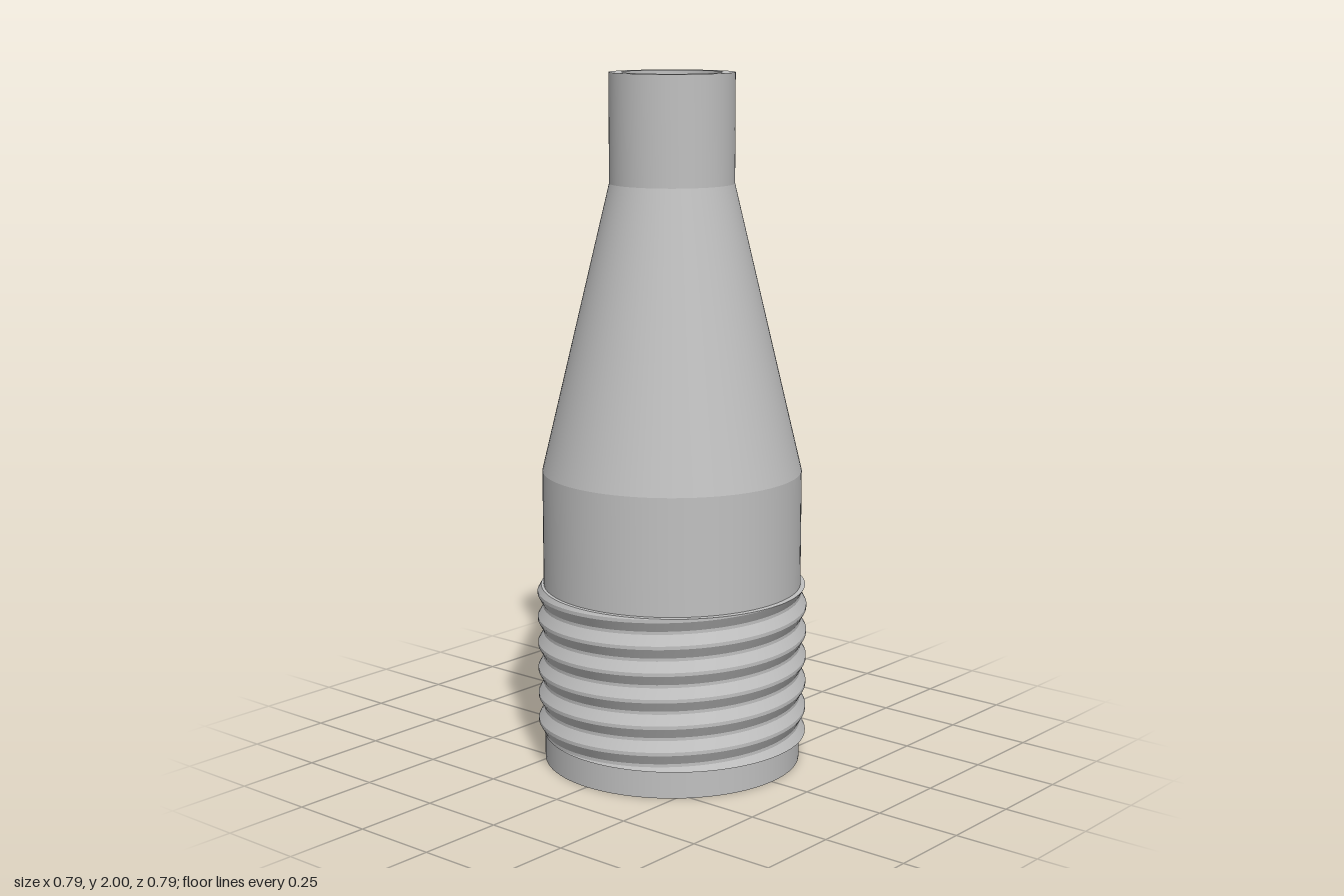
import * as THREE from 'three';
import { toCreasedNormals } from 'three/addons/utils/BufferGeometryUtils.js';

const BODY_R = 0.375, ROOT_R = 0.377, CREST_R = 0.393;
const PITCH = 0.077, LOW = 0.08, HIGH = 0.527;
const SEGMENTS = 96;

// One pitch of the thread: [offset from crest centre, radius]
const RIDGE = [[-0.034, ROOT_R], [-0.005, CREST_R], [0.005, CREST_R], [0.034, ROOT_R]];

// Thread cross-section at one angle, trimmed flat at its lower and upper ends
function threadSection(turn) {
  const raw = [];
  for (let k = -1; k < 8; k++) {
    const crest = 0.07 + (k + turn) * PITCH;
    for (const [dy, r] of RIDGE) raw.push([crest + dy, r]);
  }
  const radiusAt = (y) => {
    const i = raw.findIndex((p) => p[0] >= y);
    const [y0, r0] = raw[i - 1], [y1, r1] = raw[i];
    return r0 + (r1 - r0) * (y - y0) / (y1 - y0);
  };
  const trimmed = raw.map(([y, r]) => {
    if (y < LOW) return [LOW, radiusAt(LOW)];
    if (y > HIGH) return [HIGH, radiusAt(HIGH)];
    return [y, r];
  });
  return [[LOW, BODY_R - 0.005], ...trimmed, [HIGH, BODY_R - 0.005]];
}

// Loft the sections around the axis into a right-handed helical thread
function threadGeometry() {
  const positions = [], index = [];
  let count = 0;
  for (let s = 0; s <= SEGMENTS; s++) {
    const turn = s / SEGMENTS, a = turn * Math.PI * 2;
    const section = threadSection(turn);
    count = section.length;
    for (const [y, r] of section) positions.push(r * Math.cos(a), y, -r * Math.sin(a));
  }
  for (let s = 0; s < SEGMENTS; s++) {
    for (let j = 0; j < count - 1; j++) {
      const a = s * count + j, b = a + count;
      index.push(a, b, b + 1, a, b + 1, a + 1);
    }
  }
  const geometry = new THREE.BufferGeometry();
  geometry.setAttribute('position', new THREE.Float32BufferAttribute(positions, 3));
  geometry.setIndex(index);
  return toCreasedNormals(geometry, 0.3);
}

export function createModel() {
  const group = new THREE.Group();
  group.name = 'threadedNozzle';
  const grey = new THREE.MeshStandardMaterial({ color: 0xc0c0c0 });
  grey.name = 'grey';

  // Hollow shell: outer wall up, rim, inner wall down, base ring
  const profile = [
    [BODY_R, 0], [BODY_R, 0.865], [0.178, 1.69], [0.178, 2],
    [0.142, 2], [0.142, 1.69], [0.339, 0.865], [0.339, 0], [BODY_R, 0],
  ].map(([r, y]) => new THREE.Vector2(r, y));
  const shell = new THREE.Mesh(
    toCreasedNormals(new THREE.LatheGeometry(profile, SEGMENTS), 0.15), grey);
  shell.name = 'hollowShell';
  group.add(shell);

  // Screw thread around the lower body
  const thread = new THREE.Mesh(threadGeometry(), grey);
  thread.name = 'screwThread';
  group.add(thread);

  return group;
}
